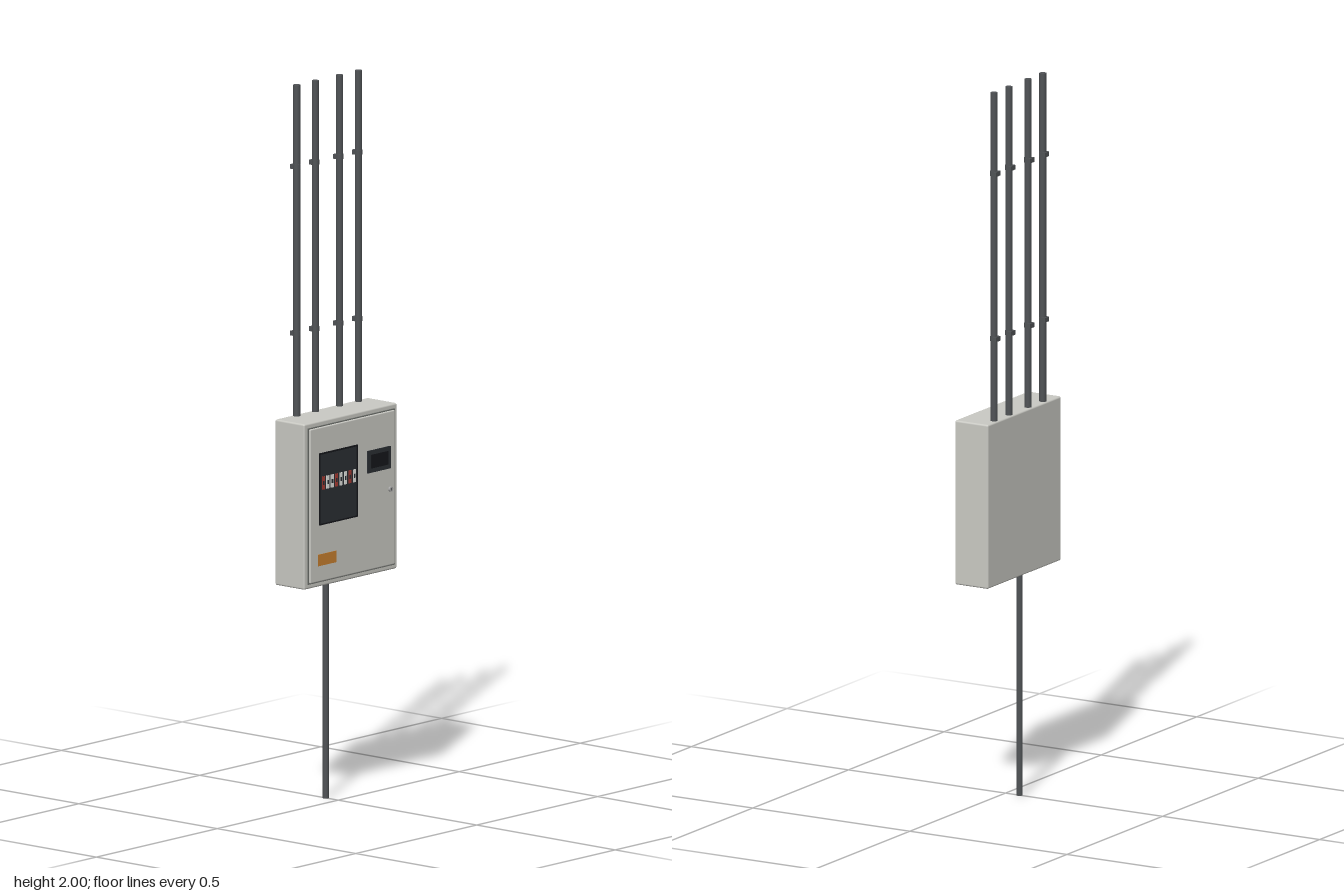
import * as THREE from 'three';
import { RoundedBoxGeometry } from 'three/addons/geometries/RoundedBoxGeometry.js';

const paint = (color) => new THREE.MeshStandardMaterial({ color });

export function createModel() {
  const model = new THREE.Group();
  const shell = paint(0xc9c9c3), gasketGrey = paint(0x70736f), pipeGrey = paint(0x505356);
  const dark = paint(0x2b2f33), black = paint(0x15161a), white = paint(0xe4e4e0);
  const red = paint(0xa83a32), orange = paint(0xc8802f), metal = paint(0xa8a8a8);

  const add = (name, geometry, material, x, y, z, parent = model) => {
    const mesh = new THREE.Mesh(geometry, material);
    mesh.name = name;
    mesh.position.set(x, y, z);
    parent.add(mesh);
    return mesh;
  };
  const box = (name, w, h, d, material, x, y, z, parent) =>
    add(name, new THREE.BoxGeometry(w, h, d), material, x, y, z, parent);

  // Wall cabinet with a raised door on a thin gasket
  add('cabinet', new RoundedBoxGeometry(0.384, 0.46, 0.106, 3, 0.005), shell, 0, 0.85, -0.008);
  box('doorGasket', 0.358, 0.434, 0.004, gasketGrey, 0, 0.85, 0.046);
  add('door', new RoundedBoxGeometry(0.35, 0.428, 0.01, 2, 0.003), shell, 0, 0.85, 0.048);

  // Breaker window: dark panel, thin frame and a row of switches
  const breakers = new THREE.Group();
  breakers.name = 'breakerWindow';
  breakers.position.set(-0.062, 0.893, 0.054);
  model.add(breakers);
  box('windowPanel', 0.154, 0.196, 0.003, dark, 0, 0, 0, breakers);
  for (const s of [-1, 1]) {
    box('frameSide', 0.004, 0.2, 0.005, black, s * 0.077, 0, 0, breakers);
    box('frameRail', 0.15, 0.004, 0.005, black, 0, s * 0.098, 0, breakers);
  }
  for (let i = 0; i < 8; i++) {
    const x = -0.064 + i * 0.0183;
    box('breaker', 0.011, 0.036, 0.002, i % 3 ? white : red, x, 0.016, 0.0022, breakers);
    box('breakerToggle', 0.006, 0.011, 0.002, dark, x, 0.016, 0.0028, breakers);
  }

  // Meter display
  box('displayBezel', 0.094, 0.062, 0.004, dark, 0.106, 0.937, 0.0545);
  box('displayScreen', 0.07, 0.038, 0.001, black, 0.106, 0.937, 0.057);

  // Door lock
  const lock = add('lock', new THREE.CylinderGeometry(0.007, 0.007, 0.007, 20), metal, 0.153, 0.848, 0.0555);
  lock.rotation.x = Math.PI / 2;
  box('keySlot', 0.0015, 0.007, 0.001, black, 0.153, 0.848, 0.059);

  // Warning plate
  box('warningPlate', 0.076, 0.032, 0.002, orange, -0.107, 0.696, 0.0535);

  // Conduits rising from the cabinet, each held by two wall clips
  for (const x of [-0.117, -0.04, 0.06, 0.138]) {
    add('upperConduit', new THREE.CylinderGeometry(0.0098, 0.0098, 0.93, 20), pipeGrey, x, 1.535, -0.0475);
    for (const y of [1.31, 1.773]) {
      box('clipBase', 0.023, 0.013, 0.012, pipeGrey, x, y, -0.055);
      add('clipBand', new THREE.CylinderGeometry(0.0108, 0.0108, 0.013, 20), pipeGrey, x, y, -0.0475);
    }
  }

  // Supply conduit below
  add('lowerConduit', new THREE.CylinderGeometry(0.0085, 0.0085, 0.63, 20), pipeGrey, 0, 0.315, -0.045);

  return model;
}
